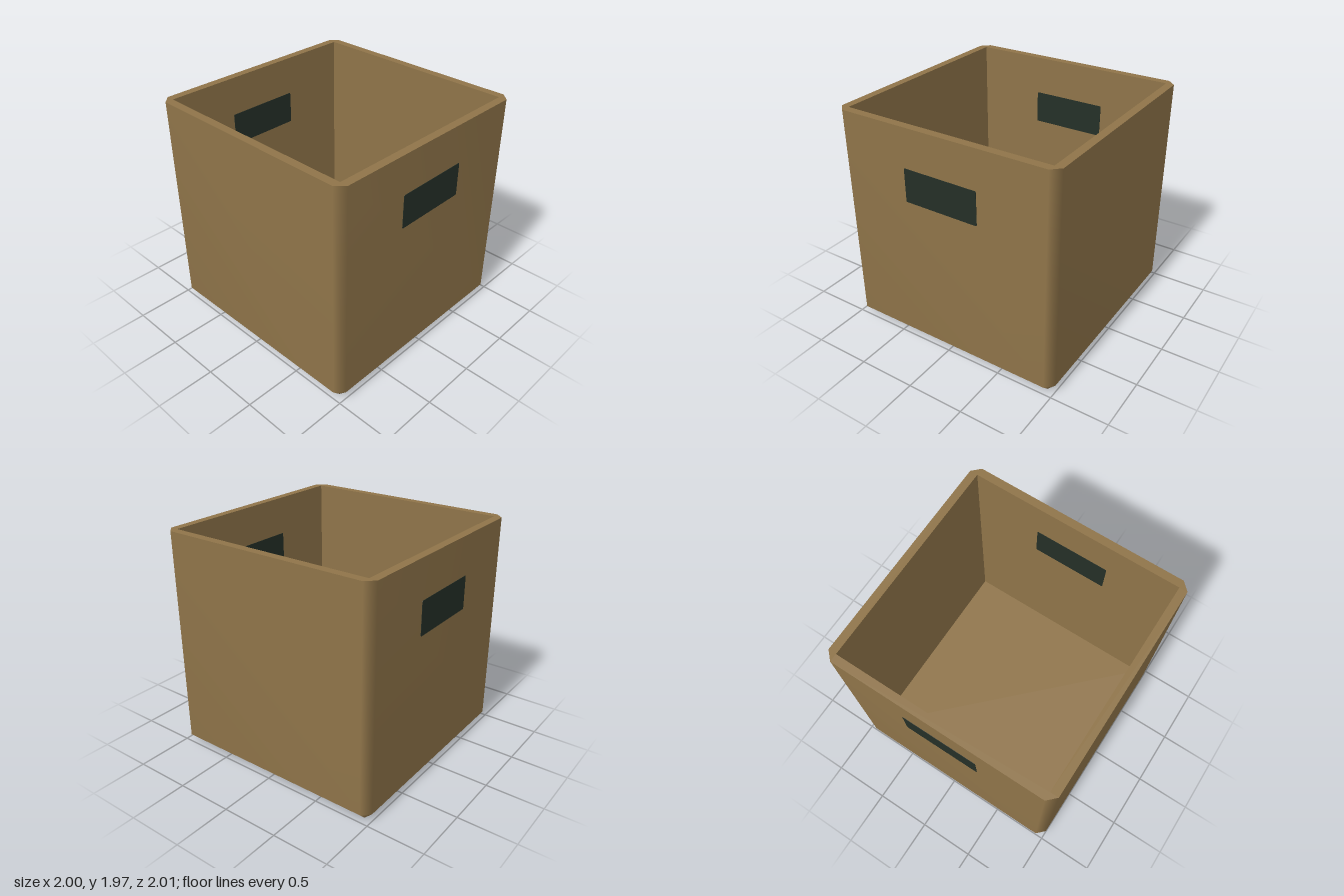
import * as THREE from 'three';

const H = 1.97;   // height
const W = 1;      // outer half width
const I = 0.93;   // inner half width, also where the bevels start
const B = 0.07;   // bevel size and floor thickness

// Octagonal outline, running from +x towards +z
const outline = [[W, -I], [W, I], [I, W], [-I, W], [-W, I], [-W, -I], [-I, -W], [I, -W]];

// Bevelled outer shell with shared vertices, so the bevels shade smoothly
function shellGeometry() {
  const pos = [];
  for (const [x, z] of [[I, -I], [I, I], [-I, I], [-I, -I]]) pos.push(x, 0, z);
  for (const y of [B, H]) for (const [x, z] of outline) pos.push(x, y, z);
  const index = [0, 1, 2, 0, 2, 3];
  const corner = (i) => Math.floor((i + 1) / 2) % 4;
  for (let i = 0; i < 8; i++) {
    const j = (i + 1) % 8;
    const a = 4 + i, b = 4 + j, c = 12 + i, d = 12 + j;
    index.push(a, c, d, a, d, b, corner(i), a, b);
    if (corner(i) !== corner(j)) index.push(corner(i), b, corner(j));
  }
  const geo = new THREE.BufferGeometry();
  geo.setAttribute('position', new THREE.Float32BufferAttribute(pos, 3));
  geo.setIndex(index);
  geo.computeVertexNormals();
  return geo;
}

// Flat rim joining the outer and inner walls
function rimGeometry() {
  const shape = new THREE.Shape(outline.map(([x, z]) => new THREE.Vector2(x, z)));
  shape.holes.push(new THREE.Path([[I, I], [I, -I], [-I, -I], [-I, I]].map(([x, z]) => new THREE.Vector2(x, z))));
  return new THREE.ShapeGeometry(shape).rotateX(-Math.PI / 2).translate(0, H, 0);
}

// Handle panel with slightly rounded corners, reaching through the wall
function handleGeometry() {
  const w = 0.335, h = 0.145, r = 0.01;
  const s = new THREE.Shape();
  s.absarc(w - r, h - r, r, 0, Math.PI / 2);
  s.absarc(-w + r, h - r, r, Math.PI / 2, Math.PI);
  s.absarc(-w + r, -h + r, r, Math.PI, Math.PI * 1.5);
  s.absarc(w - r, -h + r, r, Math.PI * 1.5, Math.PI * 2);
  const lip = 0.003;
  return new THREE.ExtrudeGeometry(s, { depth: W - I + 2 * lip, bevelEnabled: false, curveSegments: 3 })
    .translate(0, 1.485, I - lip);
}

export function createModel() {
  const cardboard = new THREE.MeshStandardMaterial({ color: 0x8f7449 });
  cardboard.name = 'cardboard brown';
  const dark = new THREE.MeshStandardMaterial({ color: 0x242f27 });
  dark.name = 'dark green';

  const box = new THREE.Group();
  box.name = 'storageBox';
  const add = (name, geo, mat) => {
    const mesh = new THREE.Mesh(geo, mat);
    mesh.name = name;
    box.add(mesh);
    return mesh;
  };

  add('outerShell', shellGeometry(), cardboard);
  add('rim', rimGeometry(), cardboard);
  add('innerFloor', new THREE.PlaneGeometry(2 * I, 2 * I).rotateX(-Math.PI / 2).translate(0, B, 0), cardboard);

  // Four inner walls facing the middle
  const wall = new THREE.PlaneGeometry(2 * I, H - B).translate(0, (H + B) / 2, -I);
  ['Back', 'Right', 'Front', 'Left'].forEach((side, k) => {
    add('innerWall' + side, wall, cardboard).rotation.y = k * Math.PI / 2;
  });

  // Handles at the front and back
  const handle = handleGeometry();
  add('frontHandle', handle, dark);
  add('backHandle', handle, dark).rotation.y = Math.PI;

  return box;
}
